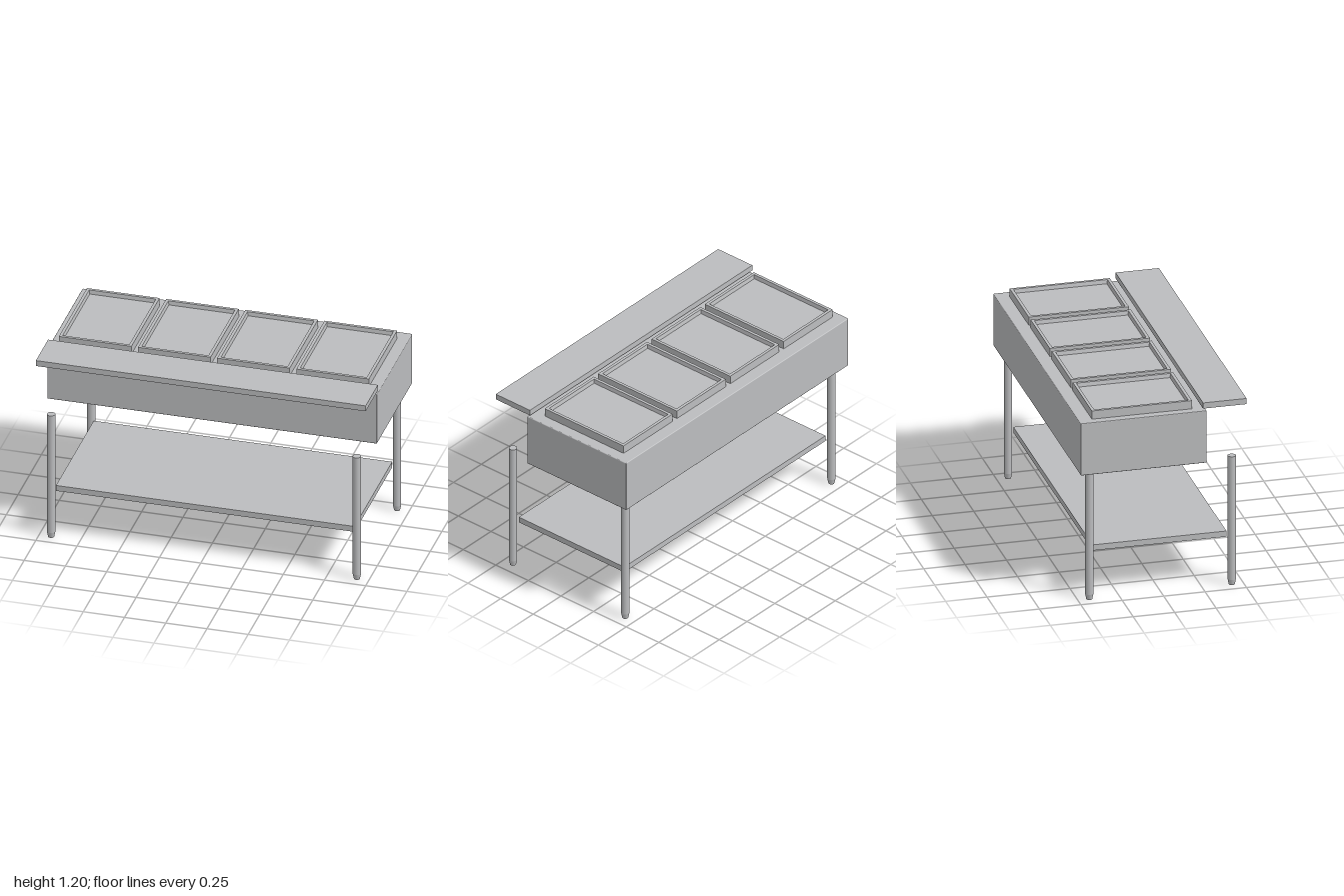
import * as THREE from 'three';
import { RoundedBoxGeometry } from 'three/addons/geometries/RoundedBoxGeometry.js';

const steel = new THREE.MeshStandardMaterial({ color: 0xbcbdbf });
steel.name = 'brushed steel';

function addMesh(parent, name, geometry, x, y, z) {
  const mesh = new THREE.Mesh(geometry, steel);
  mesh.name = name;
  mesh.position.set(x, y, z);
  parent.add(mesh);
  return mesh;
}

// Closed rectangular tray made from stacked rings of [inset, height]
function trayGeometry(width, depth, rings) {
  const points = [];
  for (const [inset, y] of rings) {
    const x = width / 2 - inset, z = depth / 2 - inset;
    points.push([-x, y, z], [x, y, z], [x, y, -z], [-x, y, -z]);
  }
  const positions = [];
  const quad = (a, b, c, d) => {
    for (const i of [a, b, c, a, c, d]) positions.push(...points[i]);
  };
  for (let r = 0; r < rings.length - 1; r++) {
    for (let i = 0; i < 4; i++) {
      const j = (i + 1) % 4;
      quad(r * 4 + i, r * 4 + j, r * 4 + 4 + j, r * 4 + 4 + i);
    }
  }
  const last = (rings.length - 1) * 4;
  quad(last, last + 1, last + 2, last + 3);
  quad(3, 2, 1, 0);
  const geometry = new THREE.BufferGeometry();
  geometry.setAttribute('position', new THREE.Float32BufferAttribute(positions, 3));
  geometry.computeVertexNormals();
  return geometry;
}

export function createModel() {
  const table = new THREE.Group();
  table.name = 'steamTable';

  // Heated cabinet with slightly softened edges
  addMesh(table, 'cabinet', new RoundedBoxGeometry(2, 0.33, 0.76, 2, 0.005), 0, 0.983, -0.12);

  // Serving ledge along the front
  addMesh(table, 'servingLedge', new THREE.BoxGeometry(2, 0.036, 0.262), 0, 1.182, 0.369);

  // Four shallow food wells
  const well = trayGeometry(0.44, 0.604, [[0, 0], [0, 0.054], [0.018, 0.054], [0.023, 0.03]]);
  for (let i = 0; i < 4; i++) {
    addMesh(table, 'foodWell', well, -0.73 + i * 0.48, 1.146, -0.118);
  }

  // Lower storage shelf
  addMesh(table, 'lowerShelf', new THREE.BoxGeometry(1.81, 0.036, 0.808), 0, 0.312, 0);

  // Legs with tapered feet
  const legGeometry = new THREE.CylinderGeometry(0.025, 0.025, 0.782, 12);
  const footGeometry = new THREE.CylinderGeometry(0.025, 0.018, 0.035, 12);
  for (const x of [-0.927, 0.927]) {
    for (const z of [-0.43, 0.43]) {
      const leg = new THREE.Group();
      leg.name = 'leg';
      leg.position.set(x, 0, z);
      addMesh(leg, 'legTube', legGeometry, 0, 0.426, 0);
      addMesh(leg, 'legFoot', footGeometry, 0, 0.0175, 0);
      table.add(leg);
    }
  }
  return table;
}
